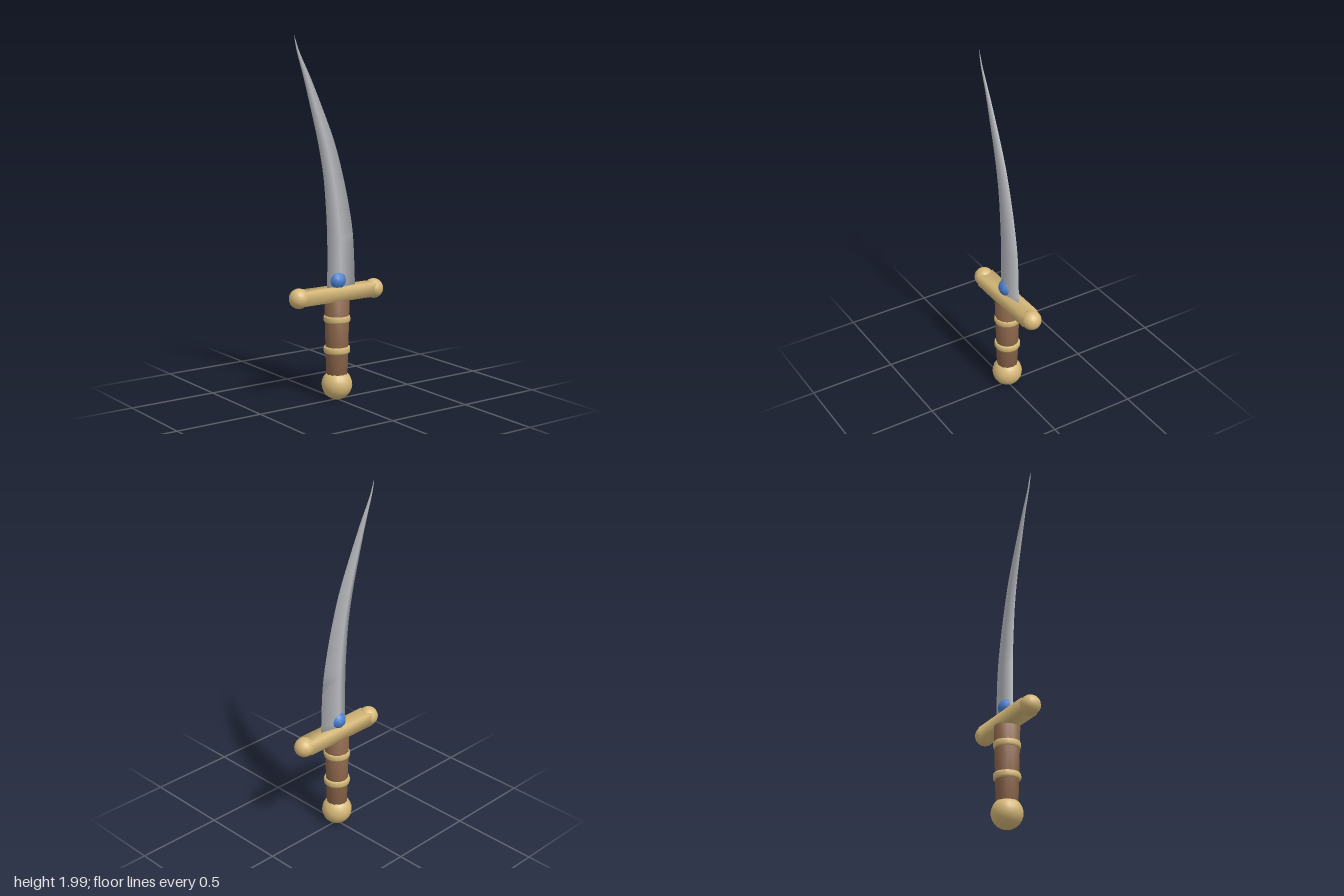
import * as THREE from 'three';
import { mergeVertices } from 'three/addons/utils/BufferGeometryUtils.js';

const material = (name, color) => {
  const m = new THREE.MeshStandardMaterial({ color });
  m.name = name;
  return m;
};

// Curved blade: diamond cross-sections lofted through smooth edge curves
function bladeGeometry() {
  // y, back edge x, cutting edge x, half thickness
  const stations = [
    [0.6, -0.065, 0.124, 0.029], [0.92, -0.065, 0.107, 0.025],
    [1.1, -0.075, 0.075, 0.021], [1.25, -0.09, 0.038, 0.018],
    [1.42, -0.122, -0.014, 0.015], [1.6, -0.168, -0.09, 0.011],
    [1.78, -0.217, -0.174, 0.008], [1.91, -0.257, -0.241, 0.005],
    [1.96, -0.268, -0.26, 0.003], [1.995, -0.273, -0.272, 0.0005],
  ];
  const edge = (k) => new THREE.CatmullRomCurve3(
    stations.map((s) => new THREE.Vector3(s[k], s[0], s[3])));
  const back = edge(1), front = edge(2);
  const steps = 45, pos = [], index = [];
  for (let i = 0; i <= steps; i++) {
    const b = back.getPoint(i / steps), f = front.getPoint(i / steps);
    const ridgeX = b.x + (f.x - b.x) * 0.39;
    const ridgeY = b.y + (f.y - b.y) * 0.39;
    pos.push(f.x, f.y, 0, ridgeX, ridgeY, -b.z, b.x, b.y, 0, ridgeX, ridgeY, b.z);
    if (i === steps) break;
    for (let j = 0; j < 4; j++) {
      const a = i * 4 + j, c = i * 4 + ((j + 1) % 4);
      index.push(a, c, c + 4, a, c + 4, a + 4);
    }
  }
  const top = steps * 4;
  index.push(0, 2, 1, 0, 3, 2, top, top + 1, top + 2, top, top + 2, top + 3);
  const g = new THREE.BufferGeometry();
  g.setAttribute('position', new THREE.Float32BufferAttribute(pos, 3));
  g.setIndex(index);
  g.computeVertexNormals();
  return g;
}

// Box with normals shared across its corners
function softBox(w, h, d) {
  const g = new THREE.BoxGeometry(w, h, d);
  g.deleteAttribute('normal');
  g.deleteAttribute('uv');
  const merged = mergeVertices(g);
  merged.computeVertexNormals();
  return merged;
}

const lathe = (points, sides) => new THREE.LatheGeometry(
  points.map(([r, y]) => new THREE.Vector2(r, y)), sides);

export function createModel() {
  const steel = material('steel', 0xb8babf);
  const gold = material('gold', 0xd6b878);
  const leather = material('leather', 0x8b6549);
  const blue = material('blue gem', 0x4a7fd0);

  const group = new THREE.Group();
  group.name = 'curvedDagger';
  const add = (name, geometry, mat, x = 0, y = 0) => {
    const mesh = new THREE.Mesh(geometry, mat);
    mesh.name = name;
    mesh.position.set(x, y, 0);
    group.add(mesh);
    return mesh;
  };

  add('blade', bladeGeometry(), steel);
  add('gem', new THREE.SphereGeometry(0.05, 12, 8), blue, 0, 0.67);

  // Crossguard with a ball on each end
  add('guard', softBox(0.474, 0.075, 0.094), gold, 0, 0.597);
  for (const side of [-1, 1]) {
    add(side > 0 ? 'leftGuardBall' : 'rightGuardBall',
      new THREE.SphereGeometry(0.055, 16, 12), gold, side * 0.25, 0.597);
  }

  // Tapered grip with two raised bands
  add('grip', lathe([[0, 0.1], [0.058, 0.1], [0.064, 0.33], [0.07, 0.565], [0, 0.565]], 12), leather);
  const band = [[0.055, -0.018], [0.07, -0.018], [0.074, -0.009], [0.074, 0.009], [0.07, 0.018], [0.055, 0.018]];
  add('upperBand', lathe(band, 16), gold, 0, 0.458);
  add('lowerBand', lathe(band, 16), gold, 0, 0.285);

  add('pommel', new THREE.SphereGeometry(0.085, 18, 14), gold, 0, 0.088);
  return group;
}
